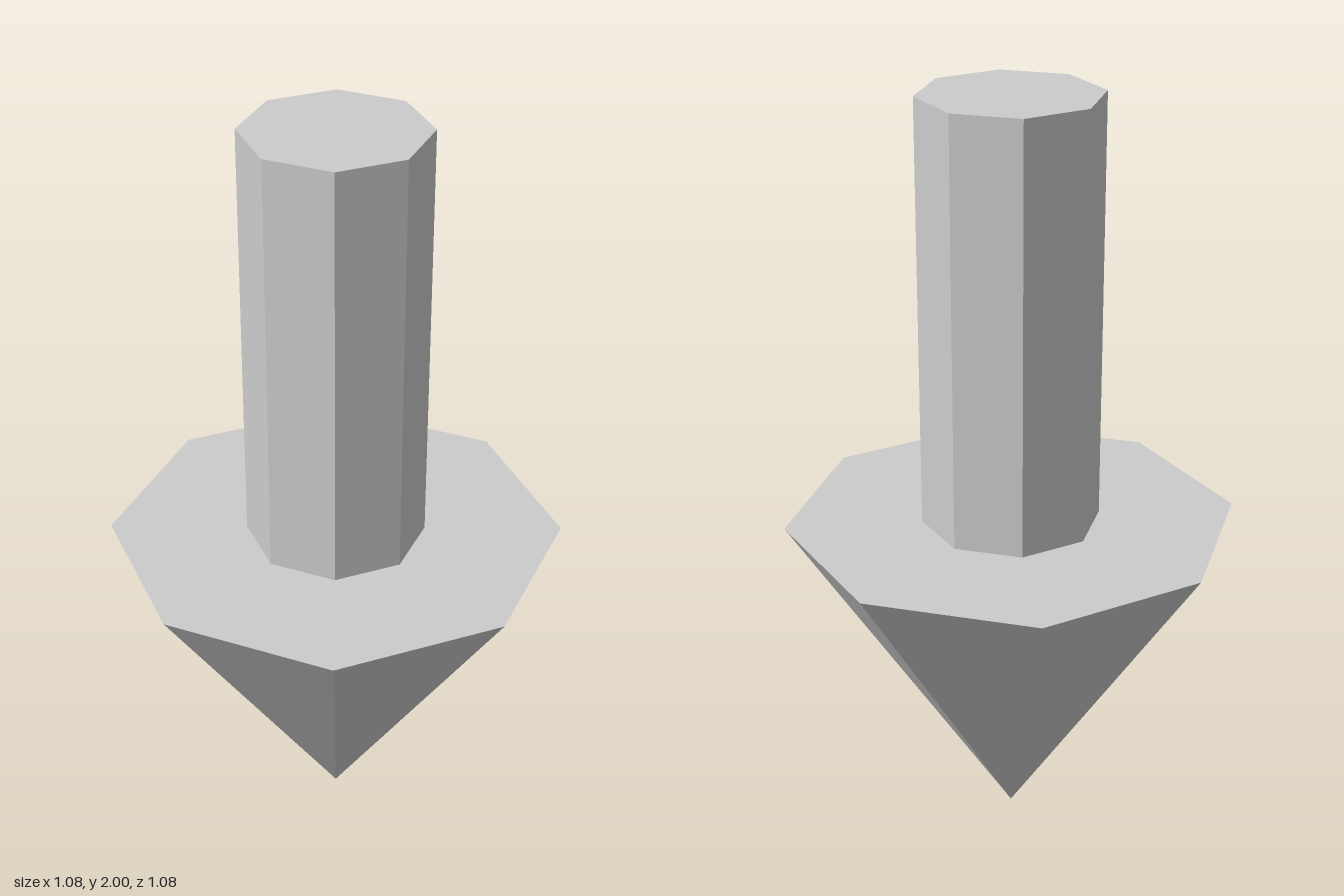
import * as THREE from 'three';

const SIDES = 8;
const HEAD_HEIGHT = 0.885;
const TOTAL_HEIGHT = 2;
// Circumradius of an octagon from the distance to its flat sides
const radius = (apothem) => apothem / Math.cos(Math.PI / SIDES);

export function createModel() {
  const model = new THREE.Group();
  model.name = 'downArrow';
  const grey = new THREE.MeshStandardMaterial({ color: 0xcccccc, flatShading: true });
  grey.name = 'light grey';

  function addPart(name, geometry, y) {
    geometry.rotateY(Math.PI / SIDES); // flat sides face the axes
    const mesh = new THREE.Mesh(geometry, grey);
    mesh.name = name;
    mesh.position.y = y;
    model.add(mesh);
  }

  // Pointed head, tip on the ground
  const head = new THREE.ConeGeometry(radius(0.542), HEAD_HEIGHT, SIDES);
  head.rotateX(Math.PI);
  addPart('arrowHead', head, HEAD_HEIGHT / 2);

  // Straight shaft standing on the head
  const shaftHeight = TOTAL_HEIGHT - HEAD_HEIGHT;
  const shaftRadius = radius(0.214);
  addPart('shaft', new THREE.CylinderGeometry(shaftRadius, shaftRadius, shaftHeight, SIDES),
    HEAD_HEIGHT + shaftHeight / 2);

  return model;
}
